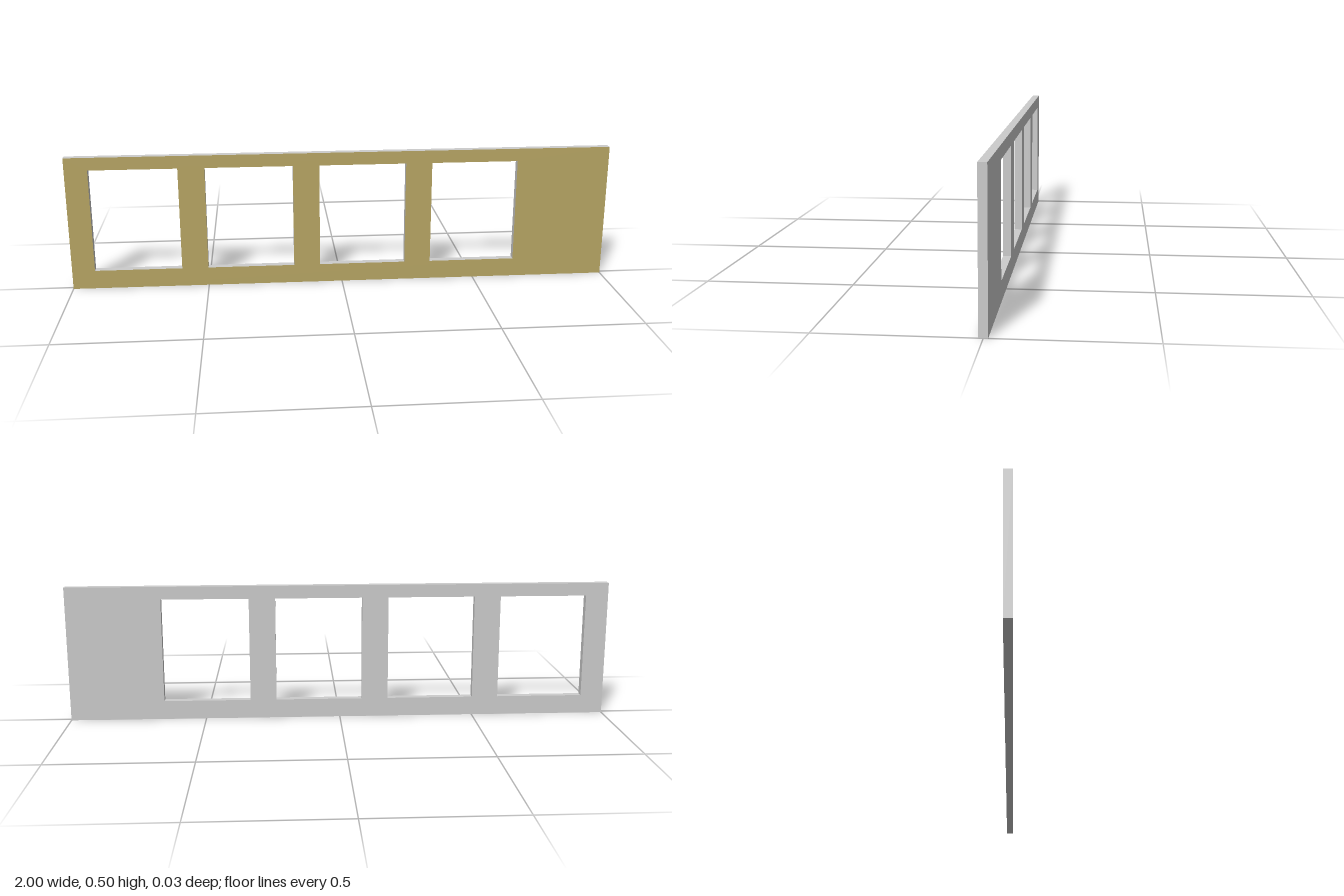
import * as THREE from 'three';

const DEPTH = 0.028;

// Closed rectangle from its lower-left and upper-right corners
function rectangle(path, x0, y0, x1, y1) {
  path.moveTo(x0, y0);
  path.lineTo(x1, y0);
  path.lineTo(x1, y1);
  path.lineTo(x0, y1);
  path.closePath();
  return path;
}

export function createModel() {
  const tan = new THREE.MeshStandardMaterial({ color: 0xb8a664 });
  tan.name = 'tan facing';
  const grey = new THREE.MeshStandardMaterial({ color: 0xcccccc });
  grey.name = 'light grey';

  // Wall panel with four evenly spaced window openings
  const outline = rectangle(new THREE.Shape(), -1, 0, 1, 0.5);
  for (let i = 0; i < 4; i++) {
    const x = -0.917 + i * 0.417;
    outline.holes.push(rectangle(new THREE.Path(), x, 0.069, x + 0.32, 0.453));
  }
  const geometry = new THREE.ExtrudeGeometry(outline, { depth: DEPTH, bevelEnabled: false });
  geometry.translate(0, 0, -DEPTH / 2);

  // Tan front face; grey back, edges and window reveals
  const [caps, sides] = geometry.groups;
  const half = caps.count / 2;
  geometry.clearGroups();
  geometry.addGroup(0, half, 0);
  geometry.addGroup(half, half, 1);
  geometry.addGroup(sides.start, sides.count, 0);

  const panel = new THREE.Mesh(geometry, [grey, tan]);
  panel.name = 'windowedWallPanel';

  const model = new THREE.Group();
  model.name = 'wallPanel';
  model.add(panel);
  return model;
}
